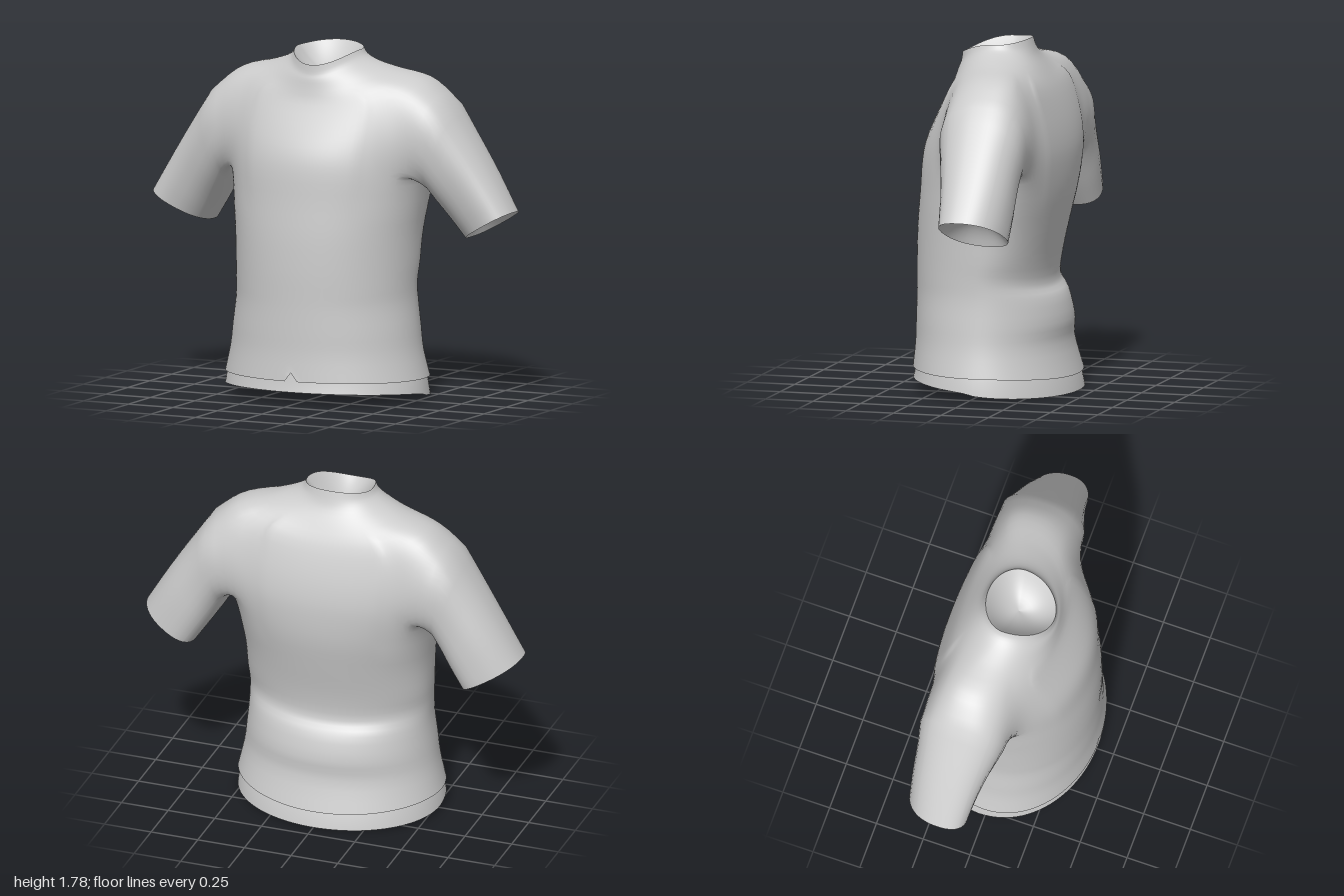
import * as THREE from 'three';

const AROUND = 96; // vertices per body ring, starting at +x and turning towards +z
const SUB = 3; // smooth steps between two control sections
const ARM = 10; // half width of the armhole, in ring vertices
const HOLE = [8 * SUB, 11 * SUB]; // ring span of the armholes

// Body sections: y at front, side, back; half width; z at front, side, back; back roundness
const BODY = [
  [0.12, 0.115, 0.085, 0.537, 0.423, 0, -0.417, 1],
  [0.25, 0.25, 0.25, 0.507, 0.412, 0, -0.37, 1],
  [0.36, 0.37, 0.36, 0.492, 0.41, 0, -0.372, 1],
  [0.48, 0.5, 0.485, 0.478, 0.408, -0.01, -0.338, 1],
  [0.56, 0.6, 0.55, 0.477, 0.408, -0.01, -0.288, 0.95],
  [0.68, 0.7, 0.68, 0.482, 0.408, -0.02, -0.298, 0.85],
  [0.85, 0.86, 0.85, 0.488, 0.402, -0.02, -0.335, 0.75],
  [1.02, 1.02, 1.02, 0.505, 0.387, -0.03, -0.37, 0.62],
  [1.17, 1.17, 1.17, 0.525, 0.375, -0.05, -0.38, 0.46],
  [1.27, 1.3, 1.28, 0.535, 0.352, -0.07, -0.372, 0.38],
  [1.37, 1.46, 1.4, 0.545, 0.305, -0.09, -0.345, 0.4],
  [1.5, 1.635, 1.53, 0.53, 0.235, -0.1, -0.3, 0.55],
  [1.57, 1.67, 1.62, 0.37, 0.212, -0.08, -0.25, 0.8],
  [1.625, 1.705, 1.69, 0.255, 0.2, -0.05, -0.205, 1],
  [1.655, 1.735, 1.735, 0.197, 0.19, -0.03, -0.185, 1],
  [1.7, 1.765, 1.785, 0.175, 0.185, -0.03, -0.17, 1],
];

// Hem sections from the bottom up, the last tucked inside the body; with a squarer edge line
const HEM = [
  [0.065, 0.035, 0, 0.538, 0.42, 0, -0.423, 1, 0.6],
  [0.115, 0.11, 0.08, 0.527, 0.408, 0, -0.405, 1, 0.6],
  [0.18, 0.165, 0.135, 0.51, 0.4, 0, -0.38, 1, 0.6],
];

// Sleeve sections: top x, y; underside x, y; z at front, back; forward lean of the top
const SLEEVE = [
  [0.5, 1.63, 0.5, 1.16, 0.17, -0.36, 0],
  [0.61, 1.575, 0.545, 1.09, 0.14, -0.325, 0],
  [0.75, 1.38, 0.595, 1.01, 0.1, -0.305, 0.02],
  [0.88, 1.18, 0.655, 0.92, 0.06, -0.298, 0.05],
  [1.0, 0.98, 0.72, 0.825, 0.03, -0.285, 0.08],
];

// Smooth sections in between the control sections
function refine(rows) {
  const spline = new THREE.CubicInterpolant(rows.map((_, i) => i), rows.flat(), rows[0].length);
  return Array.from({ length: (rows.length - 1) * SUB + 1 }, (_, i) => [...spline.evaluate(i / SUB)]);
}

// Point on a body section
function sectionPoint([yf, ys, yb, w, zf, zs, zb, e, rise = 2], k) {
  const a = (k / AROUND) * Math.PI * 2;
  const s = Math.sin(a);
  const y = ys + ((s > 0 ? yf : yb) - ys) * Math.abs(s) ** rise;
  const z = s > 0 ? zs + (zf - zs) * s : zs + (zb - zs) * (-s) ** e;
  return [w * Math.cos(a), y, z];
}

// Point on a sleeve section; angle 0 is the top, a quarter turn is the front
function sleevePoint([xt, yt, xb, yb, zf, zb, lean], a, side) {
  const round = (v) => Math.sign(v) * Math.abs(v) ** 0.87;
  const c = round(Math.cos(a)) / 2;
  const s = round(Math.sin(a)) / 2;
  return [
    side * ((xt + xb) / 2 + (xt - xb) * c),
    (yt + yb) / 2 + (yt - yb) * c,
    (zf + zb) / 2 + (zf - zb) * s + lean * c,
  ];
}

function quad(index, a, b, c, d) {
  index.push(a, b, c, a, c, d);
}

const wrap = (k) => (k + AROUND) % AROUND;
const mix = (p, q, t) => p.map((v, c) => THREE.MathUtils.lerp(v, q[c], t));
const fromSide = (k) => Math.min(...[0, AROUND / 2, AROUND].map((c) => Math.abs(k - c)));

// Rings of the torso, with an optional test for cells to leave open
function addRings(points, index, rows, isOpen = () => false) {
  rows.forEach((row, r) => {
    for (let k = 0; k < AROUND; k++) {
      points.push(sectionPoint(row, k));
      if (r === rows.length - 1 || isOpen(r, k)) continue;
      const a = r * AROUND + k;
      const b = r * AROUND + wrap(k + 1);
      quad(index, a, a + AROUND, b + AROUND, b);
    }
  });
}

// A sleeve grown from the edge of its armhole; marks the vertices of the joint, returns the cuff
function addSleeve(points, index, side, joint) {
  const centre = side > 0 ? 0 : AROUND / 2;
  const [low, high] = HOLE;
  const edge = [];
  for (let j = 0; j < ARM; j++) edge.push([j, high]);
  for (let r = high; r > low; r--) edge.push([ARM, r]);
  for (let j = ARM; j > -ARM; j--) edge.push([j, low]);
  for (let r = low; r < high; r++) edge.push([-ARM, r]);
  for (let j = -ARM; j < 0; j++) edge.push([j, high]);

  let previous = edge.map(([j, r]) => r * AROUND + wrap(centre + side * j));
  const rim = previous.map((i) => points[i]);
  const angles = edge.map(([j, r]) => Math.atan2(j / ARM, (2 * r - low - high) / (high - low)));

  refine(SLEEVE).forEach((row, i) => {
    if (i === 0) return;
    const ring = angles.map((a, n) => {
      const v = points.push(mix(rim[n], sleevePoint(row, a, side), Math.min(1, i / SUB))) - 1;
      if (i <= SUB) joint.push(v);
      return v;
    });
    ring.forEach((v, n) => {
      const m = (n + 1) % ring.length;
      if (side > 0) quad(index, previous[n], previous[m], ring[m], v);
      else quad(index, previous[n], v, ring[m], previous[m]);
    });
    previous = ring;
  });
  return previous;
}

// Relax the chosen vertices towards their neighbours
function relax(points, index, chosen, passes) {
  const near = points.map(() => new Set());
  index.forEach((v, i) => {
    const start = i - (i % 3);
    for (let c = start; c < start + 3; c++) if (index[c] !== v) near[v].add(index[c]);
  });
  const active = chosen.filter((v) => near[v].size > 0);
  for (let pass = 0; pass < passes; pass++) {
    const moved = active.map((v) => {
      const mean = [0, 1, 2].map((c) => [...near[v]].reduce((sum, n) => sum + points[n][c], 0) / near[v].size);
      return mix(points[v], mean, 0.5);
    });
    active.forEach((v, i) => { points[v] = moved[i]; });
  }
}

function makeMesh(name, points, index) {
  const geometry = new THREE.BufferGeometry();
  geometry.setAttribute('position', new THREE.Float32BufferAttribute(points.flat(), 3));
  geometry.setIndex(index);
  geometry.computeVertexNormals();
  const material = new THREE.MeshStandardMaterial({ color: 0xcccccc, side: THREE.DoubleSide });
  const mesh = new THREE.Mesh(geometry, material);
  mesh.name = name;
  return mesh;
}

// Hollow lining that closes an opening; sink is the offset of its middle
function makeLining(name, rim, sink) {
  const n = rim.length;
  const middle = [0, 1, 2].map((c) => rim.reduce((sum, p) => sum + p[c], 0) / n);
  const points = [];
  const index = [];
  const steps = 8;
  for (let i = 0; i <= steps; i++) {
    const t = i / steps;
    const depth = 1 - (1 - t) ** 2;
    rim.forEach((p, k) => {
      points.push(mix(p, middle, t).map((v, c) => v + sink[c] * depth));
      const a = i * n + k;
      const b = i * n + ((k + 1) % n);
      if (i < steps) quad(index, a, a + n, b + n, b);
    });
  }
  return makeMesh(name, points, index);
}

export function createModel() {
  const shirt = new THREE.Group();
  shirt.name = 'shirt';

  // Torso, collar and sleeves in one continuous cloth, softened at the armholes
  const points = [];
  const index = [];
  const inArmhole = (r, k) => r >= HOLE[0] && r < HOLE[1] && fromSide(k + 0.5) < ARM;
  addRings(points, index, refine(BODY), inArmhole);
  const neckRim = points.slice(-AROUND);
  const joint = [];
  for (let r = HOLE[0] - 3; r <= HOLE[1] + 2; r++) {
    for (let k = 0; k < AROUND; k++) if (fromSide(k) < ARM + 5) joint.push(r * AROUND + k);
  }
  const cuffs = [1, -1].map((side) => addSleeve(points, index, side, joint));
  relax(points, index, joint, 8);
  points[AROUND / 4][1] += 0.045; // small notch in the front edge
  shirt.add(makeMesh('bodyAndSleeves', points, index));

  // Hem band showing below the body
  const hemPoints = [];
  const hemIndex = [];
  addRings(hemPoints, hemIndex, HEM);
  shirt.add(makeMesh('hem', hemPoints, hemIndex));

  // Linings inside the neck, bottom and cuffs
  shirt.add(makeLining('neckLining', neckRim, [0, -0.11, 0]));
  shirt.add(makeLining('bottomLining', hemPoints.slice(0, AROUND), [0, 0.14, 0]));
  cuffs.forEach((cuff, i) => {
    const rim = cuff.map((v) => points[v]);
    shirt.add(makeLining(i ? 'rightCuffLining' : 'leftCuffLining', rim, [i ? 0.05 : -0.05, 0.08, 0]));
  });

  return shirt;
}
